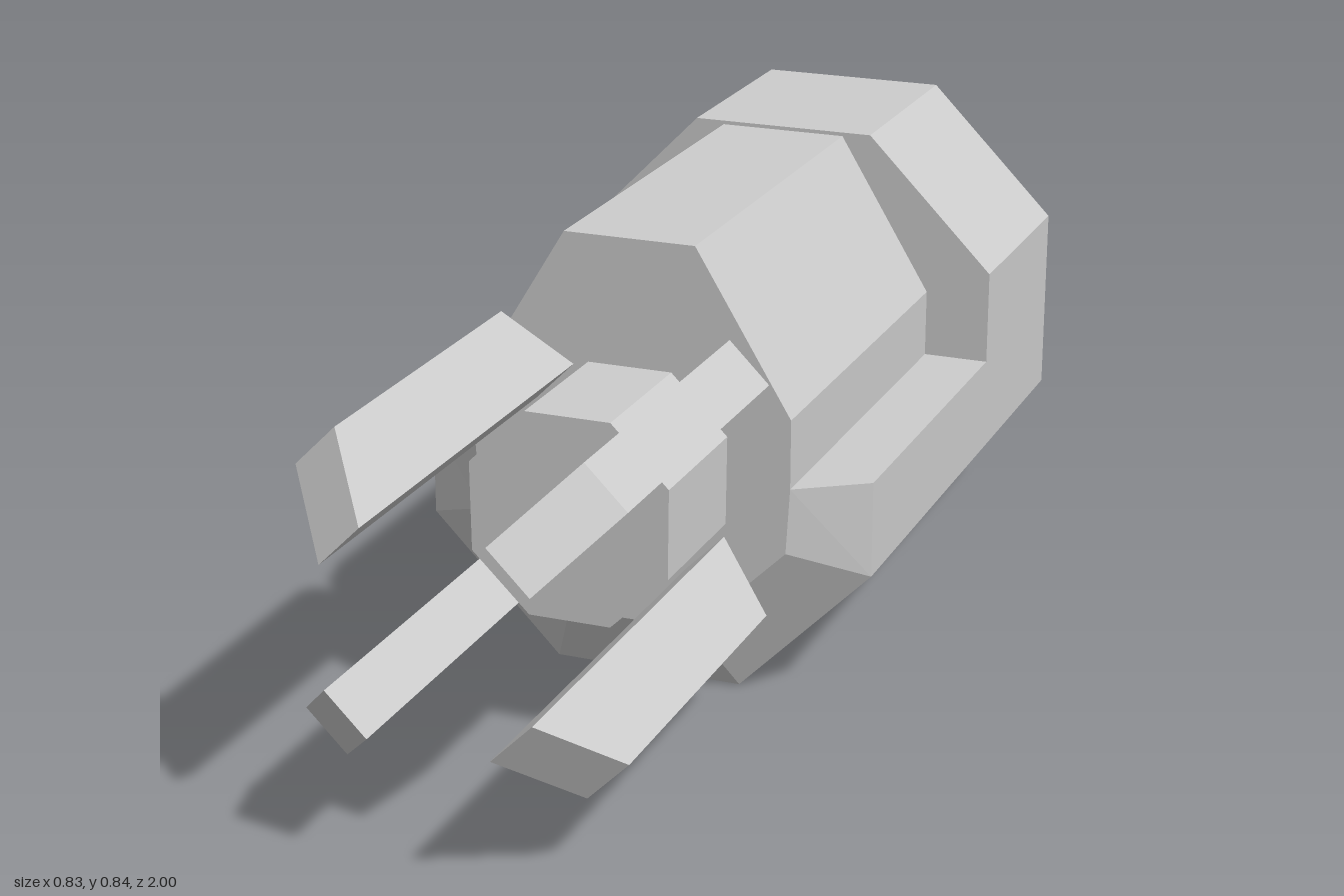
import * as THREE from 'three';

const BACK = -1, STEP = -0.58, BEVEL = 0.105, FRONT = 0.187, AXIS = 0.42;

// Mirrors a right-hand profile (listed bottom to top) into a counter-clockwise path.
const mirrored = (half) => [...half, ...half.map(([x, y]) => [-x, y]).reverse()];

// Flat-faced skin between two matching paths at two depths.
function loft(pathA, zA, pathB, zB, closed = false) {
  const pos = [];
  const n = pathA.length;
  for (let i = 0; i < (closed ? n : n - 1); i++) {
    const j = (i + 1) % n;
    const a = [...pathA[i], zA], b = [...pathA[j], zA];
    const c = [...pathB[j], zB], d = [...pathB[i], zB];
    pos.push(...a, ...b, ...c, ...a, ...c, ...d);
  }
  const geo = new THREE.BufferGeometry();
  geo.setAttribute('position', new THREE.Float32BufferAttribute(pos, 3));
  geo.computeVertexNormals();
  return geo;
}

const shapeOf = (pts) => new THREE.Shape(pts.map(([x, y]) => new THREE.Vector2(x, y)));

export function createModel() {
  const group = new THREE.Group();
  const grey = new THREE.MeshStandardMaterial({
    name: 'light grey', color: 0xcccccc, flatShading: true, side: THREE.DoubleSide,
  });
  const add = (name, geo) => {
    const mesh = new THREE.Mesh(geo, grey);
    mesh.name = name;
    group.add(mesh);
    return mesh;
  };

  // Profiles
  const octagon = mirrored([[0.175, 0], [0.417, 0.246], [0.417, 0.594], [0.175, 0.84]]);
  const upper = mirrored([[0.295, AXIS], [0.295, 0.545], [0.12, 0.833]]);
  const outerUpper = mirrored([[0.417, AXIS], [0.417, 0.594], [0.175, 0.84]]);
  // Lower paths run from the -x side under the body to the +x side
  const under = (half) => [...half.map(([x, y]) => [-x, y]), ...[...half].reverse()];
  const lower = under([[0.417, AXIS], [0.417, 0.246], [0.175, 0]]);
  const lowerNose = under([[0.295, AXIS], [0.288, 0.3], [0.118, 0.132]]);

  // Hollow shell, open at the back
  add('rearCollar', loft(octagon, BACK, octagon, STEP, true));
  add('lowerShell', loft(lower, STEP, lower, BEVEL));
  add('lowerBevel', loft(lower, BEVEL, lowerNose, FRONT));
  add('upperHousing', loft(upper, STEP, upper, FRONT));

  // Wall where the collar steps down to the narrower housing
  add('stepWall', new THREE.ShapeGeometry(shapeOf([...outerUpper, ...[...upper].reverse()])))
    .position.z = STEP;

  // Front plate
  add('frontPlate', new THREE.ShapeGeometry(shapeOf([...upper, ...lowerNose.slice(1, -1)])))
    .position.z = FRONT;

  // Flat ledges along both sides
  for (const side of [1, -1]) {
    const outline = [[0.295, -STEP], [0.417, -STEP], [0.417, -BEVEL], [0.295, -FRONT]];
    const pts = outline.map(([x, y]) => [side * x, y]);
    const ledge = add(side > 0 ? 'leftLedge' : 'rightLedge', new THREE.ShapeGeometry(shapeOf(pts)));
    ledge.rotation.x = -Math.PI / 2;
    ledge.position.y = AXIS;
  }

  // Central barrel
  const barrel = mirrored([[0.074, 0.238], [0.178, 0.34], [0.18, 0.5], [0.077, 0.603]]);
  add('barrel', new THREE.ExtrudeGeometry(shapeOf(barrel), { depth: 0.456 - FRONT, bevelEnabled: false }))
    .position.z = FRONT;

  // Four prongs around the barrel: side profile is (depth, distance from axis)
  const prong = new THREE.ExtrudeGeometry(
    shapeOf([[FRONT, 0.198], [1, 0.198], [0.87, 0.345], [0.255, 0.345]]),
    { depth: 0.1, bevelEnabled: false },
  ).translate(0, 0, -0.05);
  const forward = new THREE.Vector3(0, 0, 1);
  for (let i = 0; i < 4; i++) {
    const angle = Math.PI / 4 + (i * Math.PI) / 2;
    const out = new THREE.Vector3(Math.cos(angle), Math.sin(angle), 0);
    const across = new THREE.Vector3().crossVectors(forward, out);
    const mesh = add('prong' + (i + 1), prong);
    mesh.quaternion.setFromRotationMatrix(new THREE.Matrix4().makeBasis(forward, out, across));
    mesh.position.y = AXIS;
  }

  return group;
}
